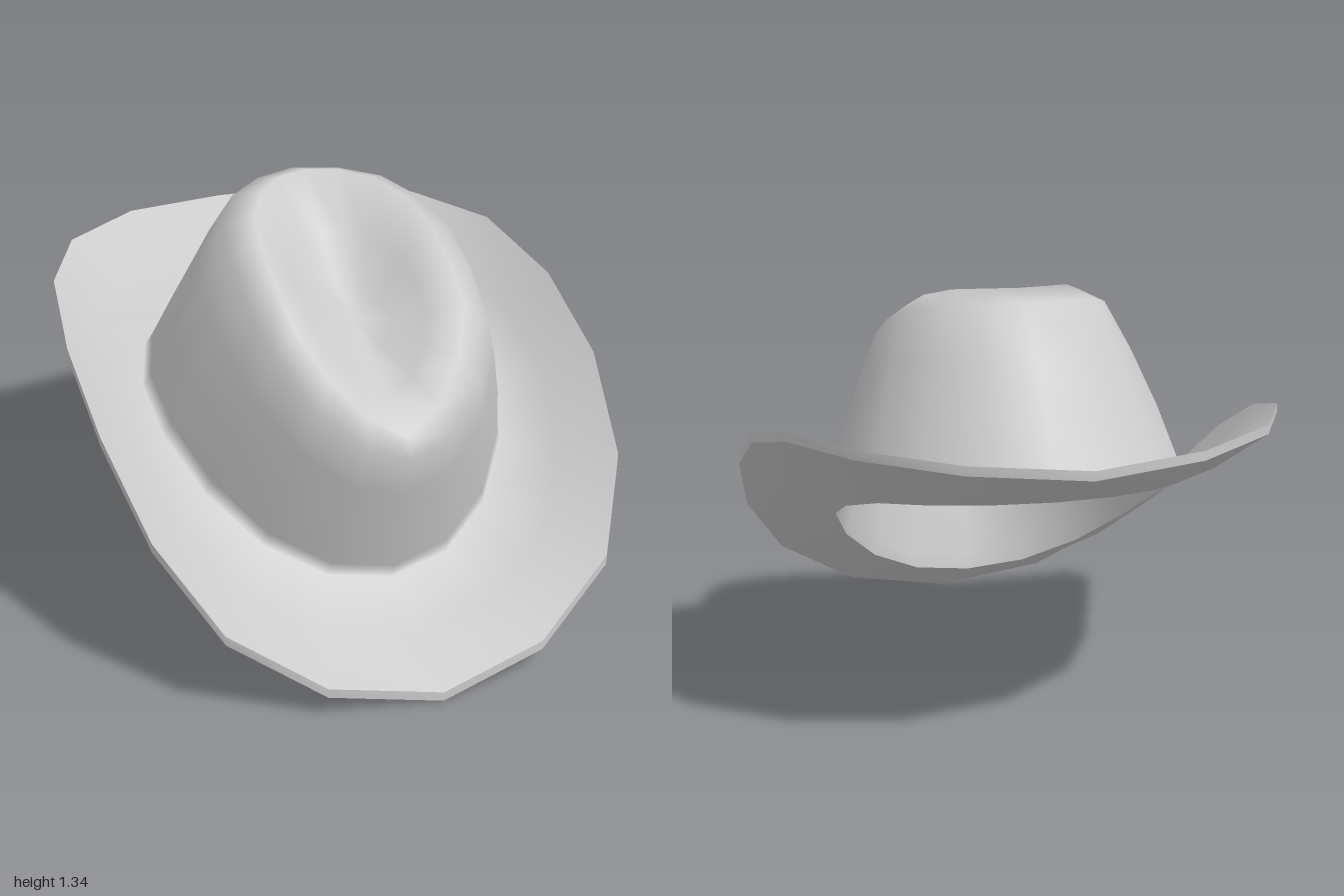
import * as THREE from 'three';
import { mergeVertices } from 'three/addons/utils/BufferGeometryUtils.js';

// Half rings run from the front (+z) round the left side to the back.
const mirror = (half) => [
  ...half,
  ...half.slice(1, -1).reverse().map(([x, y, z]) => [-x, y, z]),
];

// Blend two rings, with an optional sideways bulge (out) and lift
const blend = (a, b, t, out = 0, lift = 0) => a.map((p, i) => {
  const q = b[i].map((v, k) => p[k] + (v - p[k]) * t);
  const ang = (i / a.length) * Math.PI * 2;
  return [
    q[0] + Math.sin(ang) * out,
    q[1] + Math.abs(Math.sin(ang)) * lift,
    q[2] + Math.cos(ang) * out * (Math.cos(ang) < 0 ? 1 : 0),
  ];
});

// Shrink a ring about its own middle and drop it
const inset = (ring, s, drop) => {
  const mid = (ring[0][2] + ring[9][2]) / 2;
  return ring.map(([x, y, z]) => [x * s, y - drop, mid + (z - mid) * s]);
};

// Smooth skin through a list of rings
function loft(rings, name) {
  const n = rings[0].length;
  const index = [];
  for (let j = 0; j < rings.length - 1; j++) {
    for (let i = 0; i < n; i++) {
      const a = j * n + i, b = j * n + ((i + 1) % n);
      index.push(a, a + n, b + n, a, b + n, b);
    }
  }
  const raw = new THREE.BufferGeometry();
  raw.setAttribute('position', new THREE.Float32BufferAttribute(rings.flat(2), 3));
  raw.setIndex(index);
  const geo = mergeVertices(raw, 1e-5);
  geo.computeVertexNormals();
  const mesh = new THREE.Mesh(geo, new THREE.MeshStandardMaterial({
    color: 0xcccccc, side: THREE.DoubleSide,
  }));
  mesh.name = name;
  return mesh;
}

export function createModel() {
  // Outer edge of the curled brim
  const edge = mirror([
    [0, 0.03, 1], [0.36, 0.1, 0.95], [0.64, 0.28, 0.83], [0.79, 0.51, 0.61],
    [0.85, 0.735, 0.31], [0.85, 0.89, -0.03], [0.79, 0.975, -0.39],
    [0.64, 0.985, -0.7], [0.36, 0.975, -0.92], [0, 0.957, -1],
  ]);

  // Fold where the crown meets the brim
  const foldY = [0.22, 0.25, 0.34, 0.47, 0.6, 0.68, 0.735, 0.76, 0.775, 0.78];
  const fold = mirror(foldY.map((y, i) => {
    const a = (i * Math.PI) / 9;
    return [i === 9 ? 0 : 0.595 * Math.sin(a), y, 0.6 * Math.cos(a)];
  }));

  // Shoulder of the crown
  const shoulder = mirror([
    [0, 0.7, 0.74], [0.14, 0.74, 0.71], [0.27, 0.86, 0.64], [0.355, 1.01, 0.5],
    [0.375, 1.12, 0.33], [0.37, 1.2, 0.16], [0.335, 1.255, 0.02],
    [0.26, 1.29, -0.12], [0.14, 1.305, -0.21], [0, 1.31, -0.25],
  ]);

  // Highest line round the dent
  const rim = mirror([
    [0, 0.76, 0.7], [0.12, 0.83, 0.675], [0.22, 0.95, 0.59], [0.28, 1.065, 0.485],
    [0.29, 1.165, 0.35], [0.285, 1.24, 0.21], [0.26, 1.29, 0.09],
    [0.19, 1.325, -0.03], [0.1, 1.337, -0.11], [0, 1.34, -0.14],
  ]);

  // Dent falling from the rim to its floor
  const floor = [0, 0.98, 0.28];
  const dentRing = (s) => rim.map(([x, y, z]) => {
    const dy = y - floor[1];
    return [x * s, floor[1] + dy * (dy > 0 ? s ** 1.5 : s), floor[2] + (z - floor[2]) * s];
  });
  const dent = [0, 0.33, 0.67].map(dentRing);

  // Wall of the crown, slightly bulged
  const wall = [
    blend(fold, shoulder, 0.72, 0.014), blend(fold, shoulder, 0.4, 0.014),
    blend(fold, shoulder, 0.1, 0),
  ];
  const brimMid = blend(fold, edge, 0.5, 0, -0.025);

  // Underside and lining follow the same rings, a felt's thickness away
  const t = 0.03;
  const edgeLow = inset(edge, 1, t);
  const mouth = inset(fold, 0.96, t);
  const lining = [
    mouth,
    ...[...wall].reverse().map((r) => inset(r, 0.95, t)),
    inset(shoulder, 0.95, t), inset(rim, 0.95, 0.035),
    ...[...dent].reverse().map((r) => inset(r, 1, 0.035)),
  ];

  const hat = new THREE.Group();
  hat.name = 'hat';
  hat.add(
    loft([...dent, rim, shoulder, ...wall, fold, brimMid, edge], 'crownAndBrimTop'),
    loft([edge, edgeLow], 'brimEdge'),
    loft([edgeLow, inset(brimMid, 1, t), mouth], 'brimUnderside'),
    loft(lining, 'crownLining'),
  );
  return hat;
}
